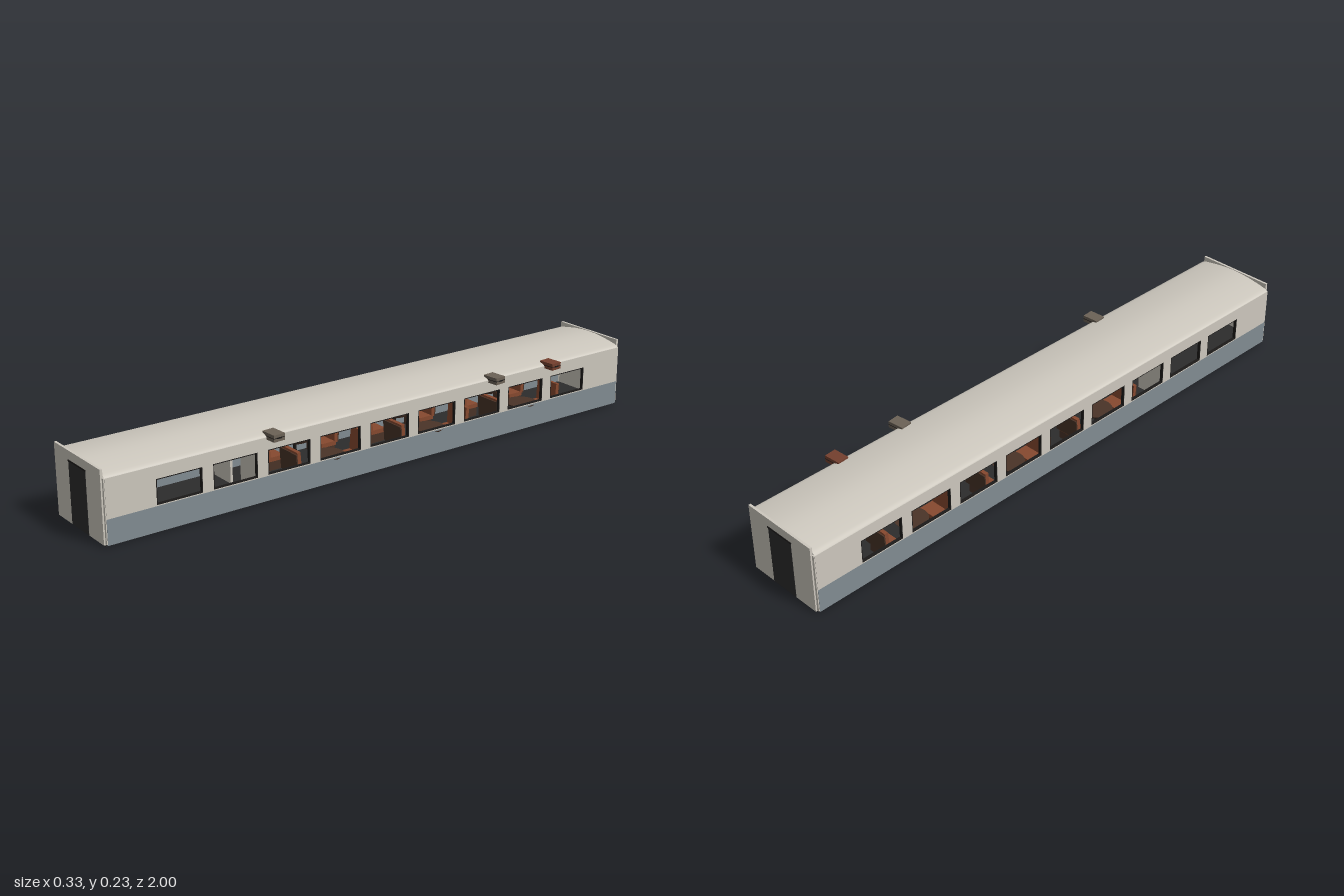
import * as THREE from 'three';

const mat = (name, color, side = THREE.FrontSide) => {
  const m = new THREE.MeshStandardMaterial({ color, side });
  m.name = name;
  return m;
};

export function createModel() {
  const cream = mat('cream paint', 0xcdc8be, THREE.DoubleSide);
  const blueGrey = mat('blue grey paint', 0x828c92);
  const charcoal = mat('charcoal', 0x2c2c2c);
  const black = mat('dark trim', 0x1c1a19);
  const leather = mat('brown upholstery', 0x87492f);
  const wood = mat('dark wood', 0x4a3428);
  const taupe = mat('taupe canvas', 0x6c6256);
  const russet = mat('russet leather', 0x74402e);

  const model = new THREE.Group();
  model.name = 'railwayCarriage';
  const body = new THREE.Group();
  body.name = 'carriage';
  body.position.x = -0.02;
  model.add(body);

  const add = (parent, name, geo, material, x = 0, y = 0, z = 0) => {
    const m = new THREE.Mesh(geo, material);
    m.name = name;
    m.position.set(x, y, z);
    parent.add(m);
    return m;
  };
  const box = (parent, name, material, w, h, d, x, y, z) =>
    add(parent, name, new THREE.BoxGeometry(w, h, d), material, x, y, z);
  const rect = (T, z0, z1, y0, y1) => {
    const s = new T();
    s.moveTo(z0, y0); s.lineTo(z1, y0); s.lineTo(z1, y1); s.lineTo(z0, y1); s.closePath();
    return s;
  };
  // Panels drawn in the z-y plane and extruded along -x
  const panel = (shape, depth) =>
    new THREE.ExtrudeGeometry(shape, { depth, bevelEnabled: false }).rotateY(-Math.PI / 2);

  // Floor
  box(body, 'floor', charcoal, 0.272, 0.006, 1.985, 0, 0.003, 0);
  box(body, 'underfloor', charcoal, 0.288, 0.003, 1.978, 0, 0.0065, 0);

  // Side walls with nine windows each
  const pitch = 0.1885, halfW = 0.076, sill = 0.087, head = 0.166;
  const wall = rect(THREE.Shape, -0.99, 0.99, 0.084, 0.206);
  const frame = [];
  for (let i = -4; i <= 4; i++) {
    const z = i * pitch;
    wall.holes.push(rect(THREE.Path, z - halfW, z + halfW, sill, head));
    const f = rect(THREE.Shape, z - halfW, z + halfW, sill, head);
    f.holes.push(rect(THREE.Path, z - halfW + 0.003, z + halfW - 0.003, sill + 0.003, head - 0.003));
    frame.push(f);
  }
  const wallGeo = panel(wall, 0.008), frameGeo = panel(frame, 0.01);
  for (const s of [1, -1]) {
    const side = s > 0 ? 'left' : 'right';
    const x = s > 0 ? 0.145 : -0.137;
    add(body, side + 'UpperWall', wallGeo, cream, x);
    add(body, side + 'WindowFrames', frameGeo, black, s > 0 ? 0.1445 : -0.1345);
    box(body, side + 'LowerWall', blueGrey, 0.008, 0.079, 1.98, s * 0.141, 0.0445, 0);
  }

  // Arched roof: a thin shell following the cross-section
  const half = [[0.145, 0.204], [0.143, 0.2085], [0.138, 0.212], [0.128, 0.215],
    [0.1, 0.2205], [0.065, 0.226], [0.03, 0.2295], [0, 0.2305]];
  const line = [...half, ...half.slice(0, -1).reverse().map(([x, y]) => [-x, y])];
  const pos = [], idx = [];
  line.forEach(([x, y], i) => {
    pos.push(x, y, 0.99, x, y, -0.99);
    if (i) {
      const a = 2 * (i - 1);
      idx.push(a, a + 1, a + 2, a + 1, a + 3, a + 2);
    }
  });
  const roof = new THREE.BufferGeometry();
  roof.setAttribute('position', new THREE.Float32BufferAttribute(pos, 3));
  roof.setIndex(idx);
  roof.computeVertexNormals();
  add(body, 'roof', roof, cream);

  // End walls with doors
  for (const s of [1, -1]) {
    const end = new THREE.Group();
    end.name = s > 0 ? 'frontEnd' : 'backEnd';
    end.rotation.y = s > 0 ? 0 : Math.PI;
    body.add(end);
    box(end, 'endWall', cream, 0.272, 0.227, 0.008, 0, 0.1185, 0.994);
    for (const c of [1, -1]) {
      box(end, 'cornerPost', cream, 0.01, 0.198, 0.006, c * 0.139, 0.107, 0.99);
    }
    box(end, 'door', charcoal, 0.1, 0.195, 0.003, 0, 0.1035, 0.9975);
    box(end, 'doorLintel', black, 0.105, 0.004, 0.004, 0, 0.202, 0.998);
  }

  // Vestibule partition with a gangway opening
  for (const s of [1, -1]) {
    box(body, 'partition', cream, 0.108, 0.2, 0.008, s * 0.083, 0.106, 0.472);
  }
  box(body, 'partitionHeader', cream, 0.058, 0.04, 0.008, 0, 0.2, 0.472);

  // Facing seats around tables in three bays on both sides of the aisle
  const tableGeo = new THREE.CylinderGeometry(0.052, 0.047, 0.008, 24);
  for (const s of [1, -1]) {
    for (const z of [0.2, -0.197, -0.593]) {
      const bay = new THREE.Group();
      bay.name = 'seatingBay';
      bay.position.set(s * 0.085, 0, z);
      body.add(bay);
      add(bay, 'tableTop', tableGeo, wood, s > 0 ? 0.0105 : 0, 0.076, 0);
      add(bay, 'tableLeg', new THREE.CylinderGeometry(0.006, 0.006, 0.066, 10), black, 0, 0.039, 0);
      for (const d of [1, -1]) {
        box(bay, 'seatBase', wood, 0.085, 0.03, 0.05, 0, 0.023, d * 0.1);
        box(bay, 'seatCushion', leather, 0.09, 0.014, 0.056, 0, 0.045, d * 0.1);
        box(bay, 'seatBack', leather, 0.09, 0.078, 0.012, 0, 0.086, d * 0.13).rotation.x = d * 0.08;
        box(bay, 'seatBackShell', wood, 0.09, 0.07, 0.004, 0, 0.083, d * 0.138).rotation.x = d * 0.08;
      }
    }
  }

  // Luggage racks and suitcases
  for (const s of [1, -1]) {
    box(body, 'luggageRack', black, 0.04, 0.003, 1.25, s * 0.115, 0.197, -0.2);
  }
  const suitcase = (material, x, z, turn) => {
    const g = new THREE.Group();
    g.name = 'suitcase';
    g.position.set(x, 0.21, z);
    g.rotation.y = turn;
    body.add(g);
    box(g, 'caseShell', material, 0.056, 0.022, 0.04, 0, 0, 0);
    box(g, 'caseSeam', black, 0.0565, 0.002, 0.0405, 0, 0, 0);
    box(g, 'caseHandle', black, 0.003, 0.004, 0.014, 0.029, 0, 0);
  };
  suitcase(taupe, 0.151, 0.436, 0.06);
  suitcase(taupe, 0.151, -0.422, 0.1);
  suitcase(russet, 0.151, -0.668, 0.08);
  return model;
}
